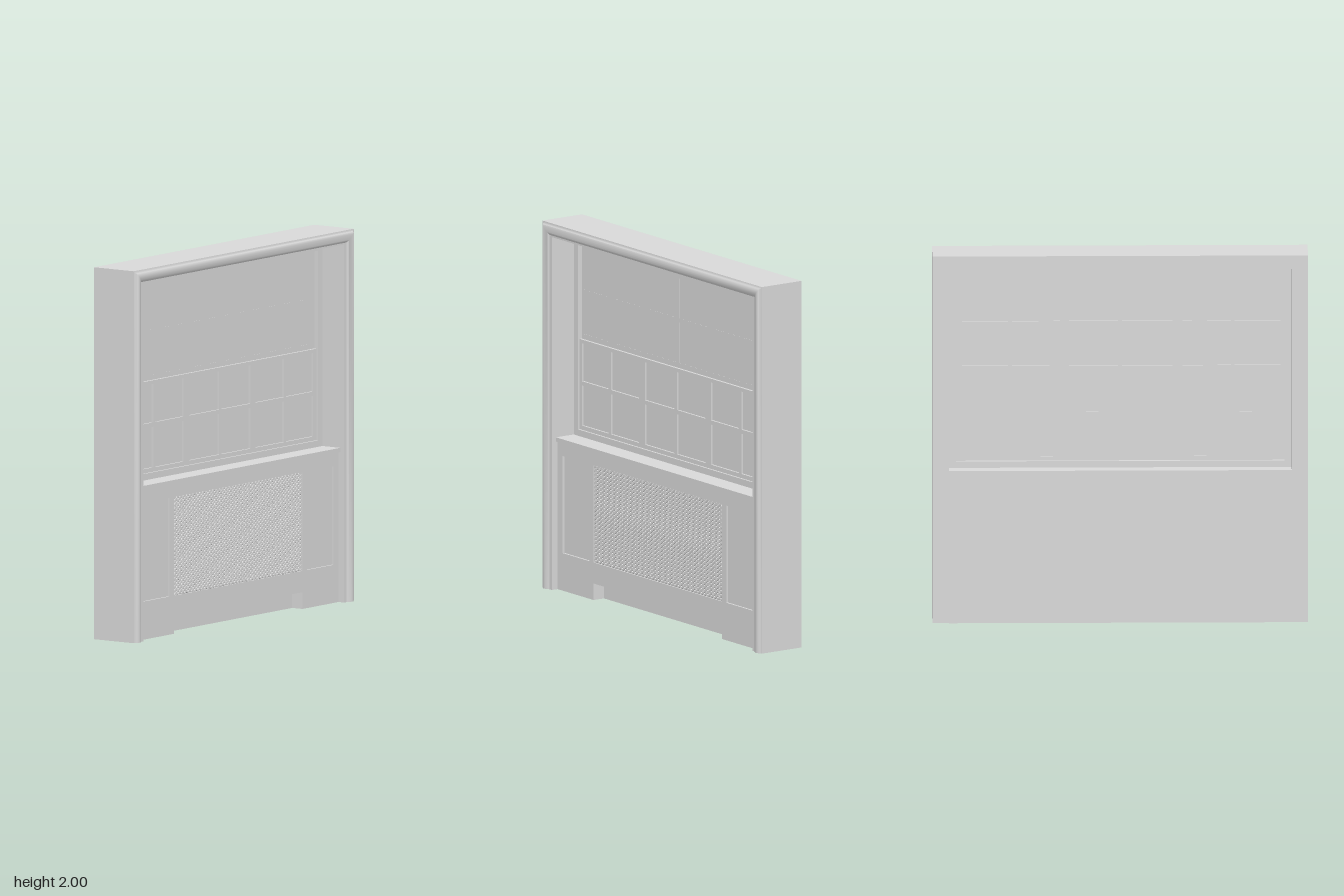
import * as THREE from 'three';
import { toCreasedNormals } from 'three/addons/utils/BufferGeometryUtils.js';

export function createModel() {
  const model = new THREE.Group();
  model.name = 'windowWithRadiatorCover';
  const paint = new THREE.MeshStandardMaterial({ color: 0xd8d8d8 });
  paint.name = 'greyPaint';

  const add = (name, geometry, parent = model) => {
    const mesh = new THREE.Mesh(geometry, paint);
    mesh.name = name;
    parent.add(mesh);
    return mesh;
  };
  // box given by its limits
  const box = (name, x0, x1, y0, y1, z0, z1, parent) =>
    add(name, new THREE.BoxGeometry(x1 - x0, y1 - y0, z1 - z0), parent)
      .position.set((x0 + x1) / 2, (y0 + y1) / 2, (z0 + z1) / 2);
  const points = (list) => list.map(([x, y]) => new THREE.Vector2(x, y));
  const rect = ([x0, x1, y0, y1]) => points([[x0, y0], [x1, y0], [x1, y1], [x0, y1]]);
  // flat plate with rectangular holes between two depths
  const plate = (name, outline, holes, z0, z1, parent) => {
    const shape = new THREE.Shape(outline);
    holes.forEach((h) => shape.holes.push(new THREE.Path(rect(h))));
    const geometry = new THREE.ExtrudeGeometry(shape, { depth: z1 - z0, bevelEnabled: false });
    geometry.translate(0, 0, z0);
    add(name, geometry, parent);
  };

  // Wall surround: two jambs and a head
  const IN = 0.913, HEAD = 1.925;
  plate('surround', points([[-1, 0], [-IN, 0], [-IN, HEAD], [IN, HEAD], [IN, 0], [1, 0], [1, 2], [-1, 2]]),
    [], -0.135, 0.125);

  // Mitred casing moulding: [inset from outer edge, z]
  const profile = [[0, 0.125], [0.01, 0.127], [0.016, 0.134], [0.025, 0.138], [0.034, 0.139],
    [0.044, 0.137], [0.053, 0.133], [0.06, 0.129], [0.066, 0.125]];
  const corners = [
    (d) => [-1 + d, 0], (d) => [-1 + d, 2 - d], (d) => [1 - d, 2 - d], (d) => [1 - d, 0],
  ];
  const position = [], index = [];
  const n = profile.length;
  corners.forEach((corner) => profile.forEach(([d, z]) => position.push(...corner(d), z)));
  for (let c = 0; c < 3; c++) {
    for (let i = 0; i < n - 1; i++) {
      const a = c * n + i, b = a + n;
      index.push(a, a + 1, b, b, a + 1, b + 1);
    }
  }
  // closed ends at the floor
  for (let i = 1; i < n - 1; i++) {
    index.push(0, i + 1, i, 3 * n, 3 * n + i, 3 * n + i + 1);
  }
  const casing = new THREE.BufferGeometry();
  casing.setAttribute('position', new THREE.Float32BufferAttribute(position, 3));
  casing.setIndex(index);
  add('casingMoulding', toCreasedNormals(casing, 0.7));

  // Low wall under the window and the sill on it
  const BACK = 0.02;
  box('lowWall', -IN, IN, 0, 0.83, -0.139, BACK);
  box('sill', -IN, IN, 0.807, 0.83, BACK, 0.1);

  // Radiator cover: front board with a toe notch, two sunk panels and a grille
  const cover = new THREE.Group();
  cover.name = 'radiatorCover';
  model.add(cover);
  const G = [-0.585, 0.585, 0.205, 0.735];
  const sunk = [[-0.867, -0.625, 0.205, 0.735], [0.625, 0.867, 0.205, 0.735]];
  plate('coverFront',
    points([[-IN, 0], [-0.585, 0], [-0.585, 0.09], [0.585, 0.09], [0.585, 0], [IN, 0], [IN, 0.807], [-IN, 0.807]]),
    [...sunk, G], BACK, 0.088, cover);
  sunk.forEach((p) => box('sunkPanel', ...p, BACK, 0.077, cover));

  // Grille: two layers of slanted bars clipped to the opening
  const grille = new THREE.Group();
  grille.name = 'grille';
  cover.add(grille);
  const stepX = 0.03, slope = 0.022 / 0.03;
  const width = G[1] - G[0], height = G[3] - G[2];
  for (const side of [1, -1]) {
    for (let s = -height / slope + stepX / 2; s < width; s += stepX) {
      const u0 = Math.max(0, s), u1 = Math.min(width, s + height / slope);
      if (u1 - u0 < 0.01) continue;
      const length = (u1 - u0) * Math.hypot(1, slope);
      const bar = add('grilleBar', new THREE.BoxGeometry(length, 0.009, 0.008), grille);
      const u = (u0 + u1) / 2;
      bar.position.set(side * (u - width / 2), G[2] + (u - s) * slope, side > 0 ? 0.081 : 0.079);
      bar.rotation.z = side * Math.atan(slope);
    }
  }

  // Window: outer frame and two sashes in neighbouring planes, each with its glass
  const win = new THREE.Group();
  win.name = 'window';
  model.add(win);
  const X = 0.875, BOTTOM = 0.865, TOP = 1.885, MEET = 1.357;
  plate('windowFrame', rect([-IN, IN, 0.83, HEAD]), [[-X, X, BOTTOM, TOP]], -0.06, -0.018, win);
  const columns = [[-0.855, -0.61], [-0.59, -0.333], [-0.28, -0.01], [0.012, 0.272], [0.32, 0.577], [0.598, 0.843]];
  const panes = (rows) => rows.flatMap((r) => columns.map((c) => [...c, ...r]));
  plate('lowerSash', rect([-X, X, BOTTOM, MEET]), panes([[0.888, 1.107], [1.13, 1.337]]), -0.043, -0.029, win);
  box('lowerGlass', -X, X, BOTTOM + 0.01, MEET - 0.01, -0.042, -0.04, win);
  plate('upperSash', rect([-X, X, MEET - 0.02, TOP]), panes([[1.385, 1.605], [1.628, 1.845]]), -0.057, -0.043, win);
  box('upperGlass', -X, X, MEET, TOP - 0.01, -0.046, -0.044, win);

  return model;
}
